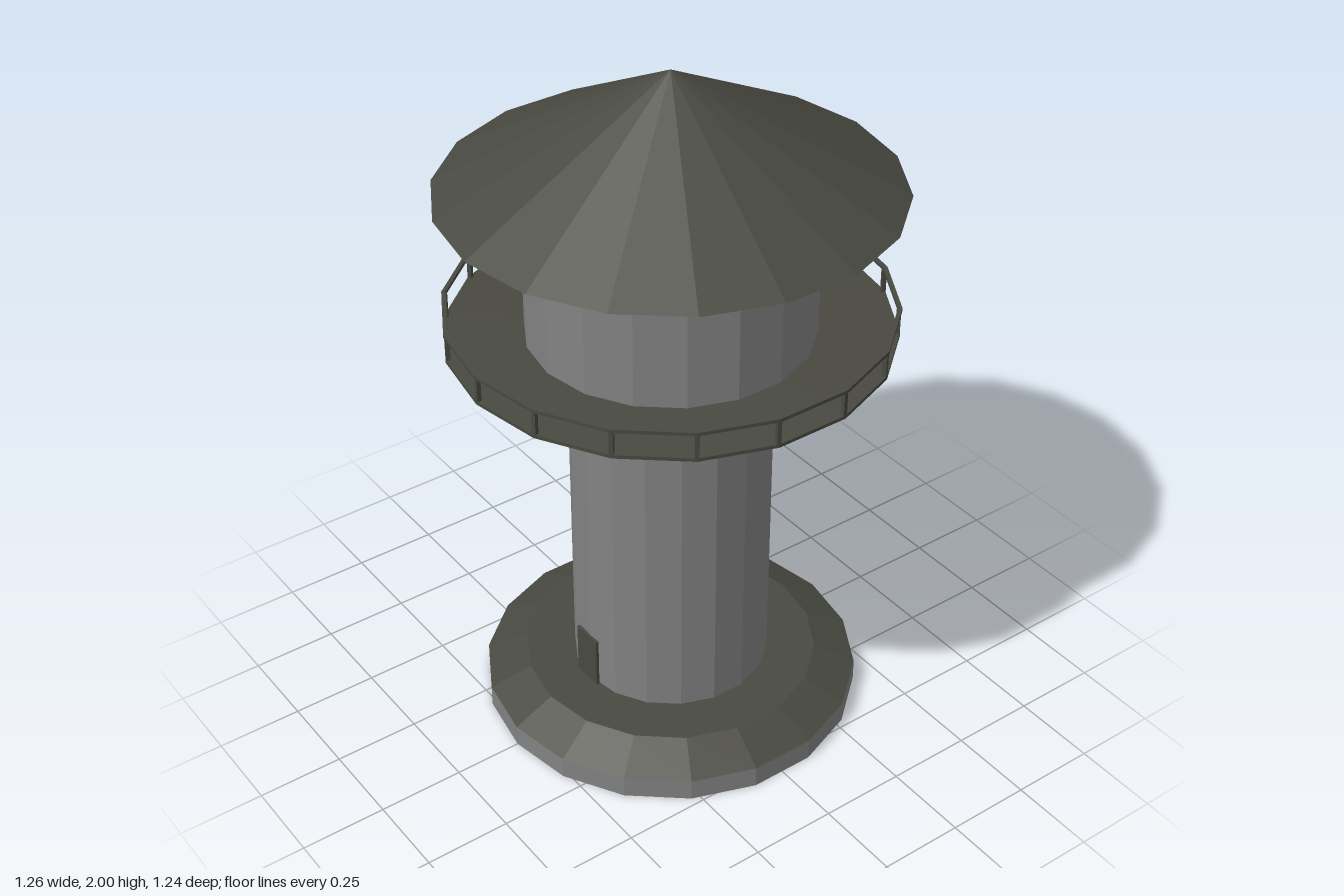
import * as THREE from 'three';

const SIDES = 18;

export function createModel() {
  const model = new THREE.Group();
  model.name = 'tower';

  const material = (name, color) => {
    const m = new THREE.MeshStandardMaterial({ color, flatShading: true, side: THREE.DoubleSide });
    m.name = name;
    return m;
  };
  const concrete = material('concreteGrey', 0x828282);
  const dark = material('darkOlive', 0x484940);

  const add = (name, geometry, mat, parent = model) => {
    const mesh = new THREE.Mesh(geometry, mat);
    mesh.name = name;
    parent.add(mesh);
    return mesh;
  };

  // Faceted ring from [radius, height] points, with a corner on the x axis
  const ring = (name, points, mat, parent) => add(
    name,
    new THREE.LatheGeometry(points.map(([r, y]) => new THREE.Vector2(r, y)), SIDES, Math.PI / 2),
    mat, parent);

  // Base, hollow underneath
  ring('baseWall', [[0.55, 0], [0.55, 0.065]], concrete);
  ring('baseTop', [[0.55, 0.065], [0.43, 0.12], [0.285, 0.12]], dark);

  // Shaft and the room above it
  ring('shaft', [[0.287, 0.12], [0.287, 1.15]], concrete);
  ring('roomWall', [[0.4, 1.238], [0.4, 1.625]], concrete);

  // Flared gallery deck
  ring('galleryDeck',
    [[0.287, 1.15], [0.4, 1.215], [0.62, 1.228], [0.62, 1.238], [0.287, 1.238]], dark);

  // Collar and roof with a flat underside
  ring('roofCollar', [[0.4, 1.625], [0.3, 1.66]], dark);
  ring('roof', [[0, 1.66], [0.63, 1.66], [0, 2]], dark);

  // Gallery railing with a post at every corner
  const railing = new THREE.Group();
  railing.name = 'railing';
  model.add(railing);
  ring('handrail',
    [[0.61, 1.307], [0.622, 1.307], [0.622, 1.317], [0.61, 1.317], [0.61, 1.307]], dark, railing);
  const postGeometry = new THREE.BoxGeometry(0.012, 0.075, 0.012);
  for (let i = 0; i < SIDES; i++) {
    const a = (i / SIDES) * Math.PI * 2;
    const post = add('railingPost', postGeometry, dark, railing);
    post.position.set(0.613 * Math.cos(a), 1.273, 0.613 * Math.sin(a));
    post.rotation.y = -a;
  }

  // Doors: one at the foot of the shaft, one onto the gallery
  add('shaftDoor', new THREE.BoxGeometry(0.009, 0.16, 0.095), dark)
    .position.set(-0.289, 0.2, -0.01);
  add('galleryDoor', new THREE.BoxGeometry(0.11, 0.162, 0.009), dark)
    .position.set(-0.06, 1.319, -0.398);

  return model;
}
